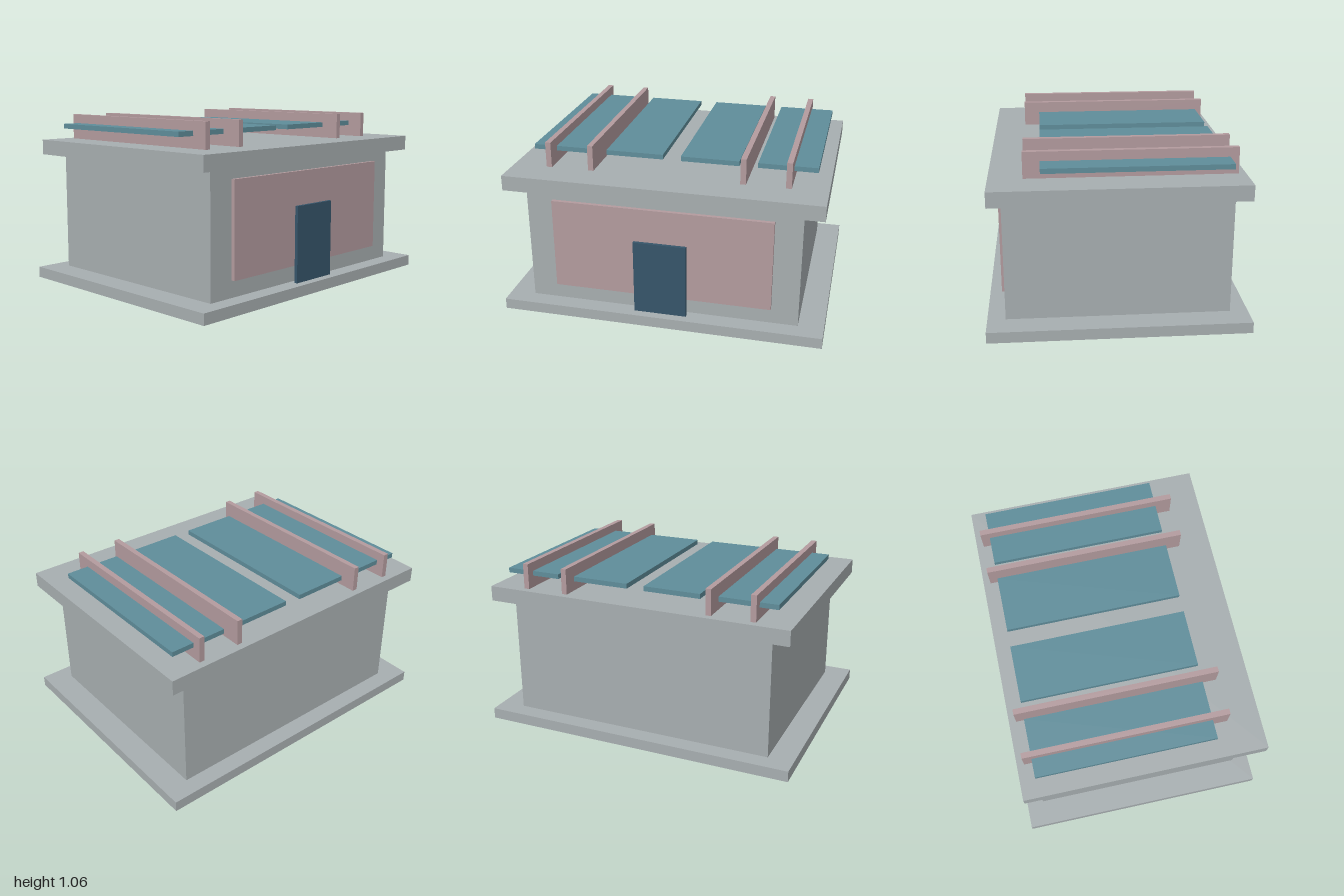
import * as THREE from 'three';

const material = (name, color) => {
  const m = new THREE.MeshStandardMaterial({ color });
  m.name = name;
  return m;
};

export function createModel() {
  const model = new THREE.Group();
  model.name = 'pavilion';

  const concrete = material('concrete grey', 0xa7aeb0);
  const rose = material('dusty rose', 0xb39b9e);
  const teal = material('teal', 0x5f8d9a);
  const navy = material('dark slate blue', 0x36556a);

  // Box given by its minimum and maximum along each axis
  const box = (name, mat, [x0, x1], [y0, y1], [z0, z1]) => {
    const mesh = new THREE.Mesh(new THREE.BoxGeometry(x1 - x0, y1 - y0, z1 - z0), mat);
    mesh.position.set((x0 + x1) / 2, (y0 + y1) / 2, (z0 + z1) / 2);
    mesh.name = name;
    model.add(mesh);
  };

  // Building shell
  box('basePlinth', concrete, [-1, 1], [0, 0.068], [-0.777, 0.777]);
  box('walls', concrete, [-0.843, 0.843], [0.068, 0.811], [-0.669, 0.669]);
  box('roofSlab', concrete, [-0.965, 0.965], [0.811, 0.905], [-0.744, 0.744]);

  // Front facade
  box('frontPanel', rose, [-0.678, 0.678], [0.17, 0.747], [0.669, 0.693]);
  box('door', navy, [-0.163, 0.163], [0.068, 0.541], [0.704, 0.724]);

  // Roof panels, floating above the slab
  for (let i = 0; i < 4; i++) {
    const x = -0.688 + i * 0.467;
    box(`roofPanel${i + 1}`, teal, [x - 0.178, x + 0.178], [0.977, 1.007], [-0.647, 0.444]);
  }

  // Upright roof fins
  [-0.737, -0.47, 0.465, 0.732].forEach((x, i) => {
    box(`roofFin${i + 1}`, rose, [x - 0.017, x + 0.017], [0.905, 1.063], [-0.7, 0.544]);
  });

  return model;
}
